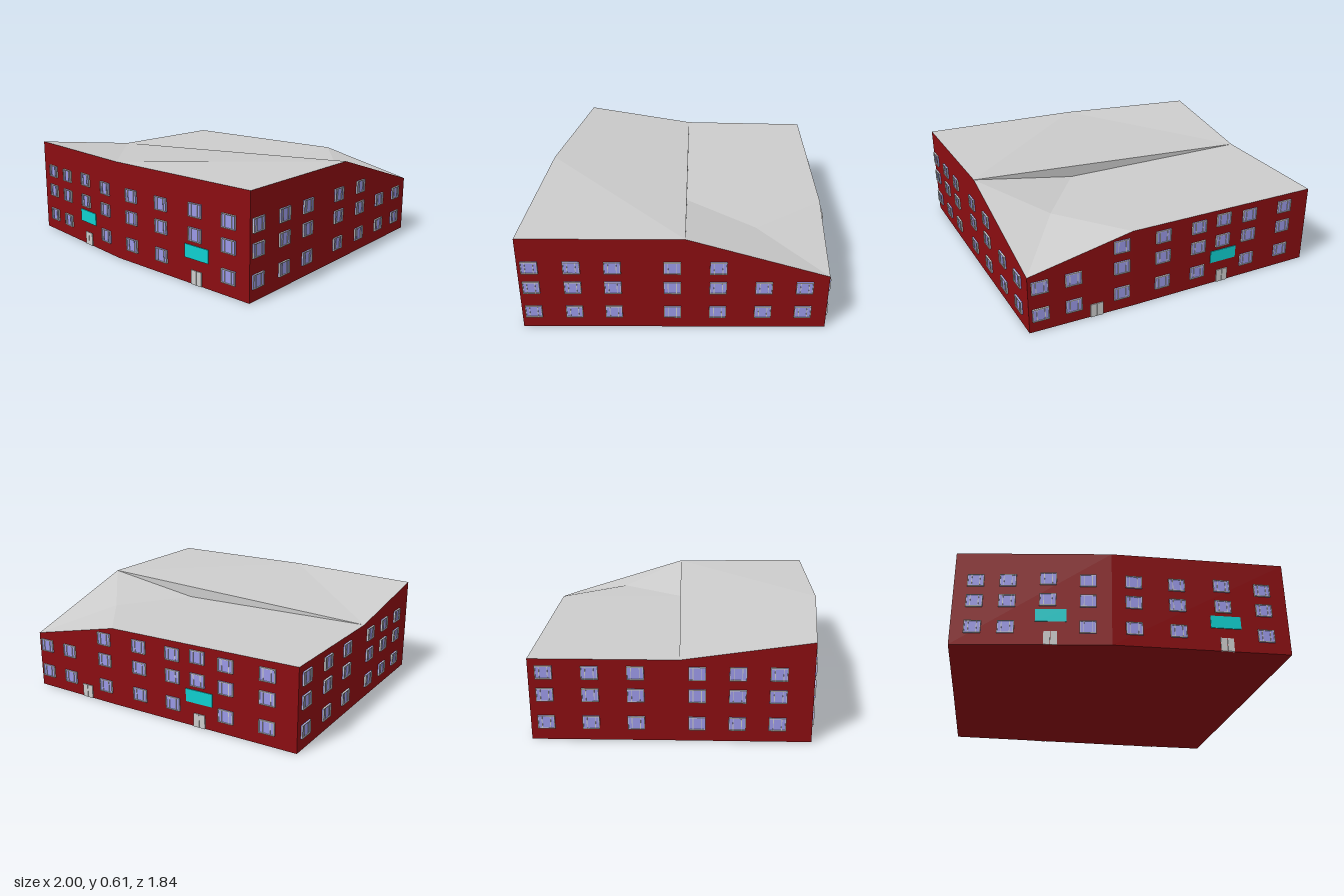
import * as THREE from 'three';

const mat = (color, side = THREE.FrontSide) => new THREE.MeshStandardMaterial({ color, side, flatShading: true });
const brick = mat(0x8a0d11);
const grey = mat(0xcccccc);
const roofGrey = mat(0xcccccc, THREE.DoubleSide);
const glass = mat(0x9a98e6);
const cyan = mat(0x0fcfcf);

// Outline of the building with eaves height, counter-clockwise from the front left of the plan
const outline = [
  [-1, 0.61, 0.71], [-0.08, 0.61, 0.86], [0.98, 0.61, 0.91], [0.965, 0.61, -0.05],
  [0.95, 0.36, -0.88], [0.31, 0.5, -0.9], [-0.95, 0.5, -0.91], [-0.975, 0.5, -0.05],
];

// Flat-shaded surface from polygons, each fanned from its first corner
function polygons(name, faces, material) {
  const pos = [];
  for (const f of faces)
    for (let i = 1; i < f.length - 1; i++) pos.push(...f[0], ...f[i], ...f[i + 1]);
  const g = new THREE.BufferGeometry();
  g.setAttribute('position', new THREE.Float32BufferAttribute(pos, 3));
  g.computeVertexNormals();
  const mesh = new THREE.Mesh(g, material);
  mesh.name = name;
  return mesh;
}

function box(name, w, h, d, material, x = 0, y = 0, z = 0) {
  const mesh = new THREE.Mesh(new THREE.BoxGeometry(w, h, d), material);
  mesh.name = name;
  mesh.position.set(x, y, z);
  return mesh;
}

// Window: pane in a slim frame with two mullions
function makeWindow() {
  const g = new THREE.Group();
  const w = 0.098, h = 0.08, t = 0.005;
  g.name = 'window';
  g.add(box('pane', w, h, 0.008, glass, 0, 0, 0.002));
  for (const s of [-1, 1]) {
    g.add(box('frameSide', t, h, 0.014, grey, s * (w - t) / 2, 0, 0.004));
    g.add(box('frameRail', w, t, 0.014, grey, 0, s * (h - t) / 2, 0.004));
    g.add(box('mullion', 0.004, h, 0.012, grey, s * 0.024, 0, 0.004));
  }
  return g;
}

function makeDoor() {
  const g = new THREE.Group();
  g.name = 'door';
  for (const s of [-1, 1]) g.add(box('doorLeaf', 0.038, 0.084, 0.012, grey, s * 0.0205, 0.042, 0));
  return g;
}

const makeSign = () => box('signBoard', 0.182, 0.08, 0.01, cyan);

export function createModel() {
  const model = new THREE.Group();
  model.name = 'building';

  // Walls and floor
  const base = outline.map(([x, , z]) => [x, 0, z]);
  const walls = outline.map((p, i) => {
    const j = (i + 1) % outline.length;
    return [base[i], base[j], outline[j], p];
  });
  model.add(polygons('walls', walls, brick));
  model.add(polygons('floor', [[...base].reverse()], brick));

  // Roof: tilted front, sunken flat area behind a step, warped corner slope
  const [fl, fm, fr, rm, br, bm, bl, lm] = outline;
  const k = [0.31, 0.5, -0.05];
  const c = [0, 1, 2].map(i => (k[i] + rm[i] + br[i] + bm[i]) / 4);
  model.add(polygons('frontRoof', [[lm, fl, fm], [lm, fm, rm], [fm, fr, rm]], roofGrey));
  model.add(polygons('flatRoof', [[lm, k, bm, bl]], roofGrey));
  model.add(polygons('roofStep', [[lm, rm, k]], roofGrey));
  model.add(polygons('cornerRoof', [[c, k, rm], [c, rm, br], [c, br, bm], [c, bm, k]], roofGrey));

  // Puts an object on the wall from a to b where coordinate axis (0 = x, 2 = z) equals v
  const place = (obj, a, b, axis, v, y) => {
    const t = (v - a[axis]) / (b[axis] - a[axis]);
    obj.position.set(a[0] + (b[0] - a[0]) * t, y, a[2] + (b[2] - a[2]) * t);
    obj.rotation.y = Math.atan2(-(b[2] - a[2]), b[0] - a[0]);
    model.add(obj);
  };
  const rows = [0.112, 0.283, 0.42];
  const column = (a, b, axis, v, ys = rows) => ys.forEach(y => place(makeWindow(), a, b, axis, v, y));
  const entrance = (a, b, x, doorX) => {
    column(a, b, 0, x, [0.292, 0.433]);
    place(makeSign(), a, b, 0, doorX, 0.188);
    place(makeDoor(), a, b, 0, doorX, 0);
  };

  // Front wall
  for (const x of [-0.873, -0.685, -0.217]) column(fl, fm, 0, x);
  for (const x of [0.05, 0.31, 0.835]) column(fm, fr, 0, x);
  entrance(fl, fm, -0.45, -0.43);
  entrance(fm, fr, 0.585, 0.595);

  // Side walls
  for (const z of [0.84, 0.6, 0.367, 0.025, -0.24]) column(fr, br, 2, z);
  for (const z of [-0.505, -0.74]) column(fr, br, 2, z, rows.slice(0, 2));
  for (const z of [-0.82, -0.56, -0.3, 0.05, 0.28, 0.51]) column(bl, fl, 2, z);

  // Back wall
  for (const x of [0.88, 0.68]) column(br, bm, 0, x, [0.11, 0.285]);
  column(br, bm, 0, 0.38);
  for (const x of [0.11, -0.135, -0.5, -0.765]) column(bm, bl, 0, x);
  entrance(bm, bl, -0.31, -0.32);
  place(makeDoor(), br, bm, 0, 0.54, 0);

  return model;
}
